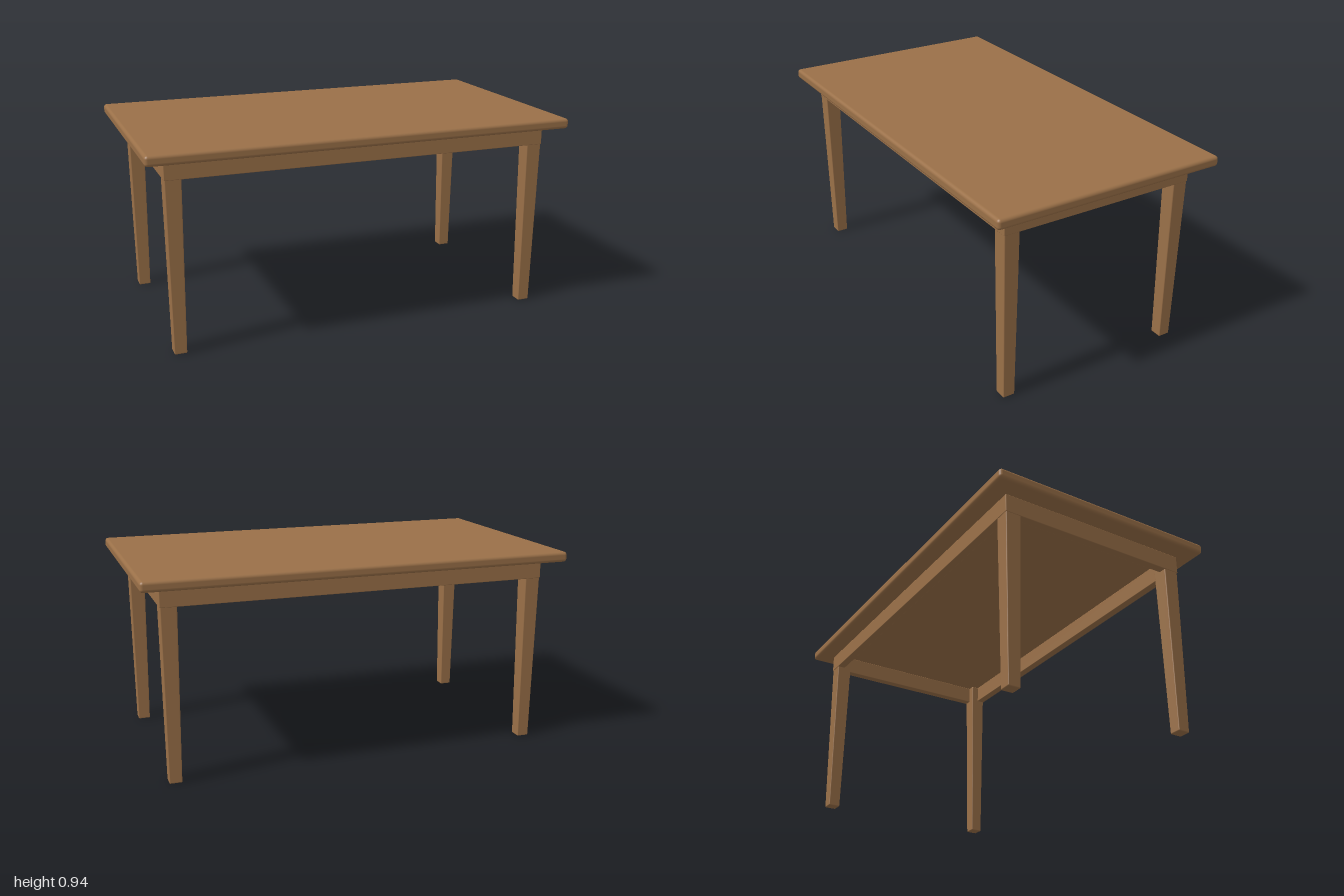
import * as THREE from 'three';
import { RoundedBoxGeometry } from 'three/addons/geometries/RoundedBoxGeometry.js';

const TOP_Y = 0.938, UNDER_Y = 0.89, APRON_Y = 0.803;
const FRAME_X = 0.91, FRAME_Z = 0.475, APRON_THICK = 0.04;

export function createModel() {
  const model = new THREE.Group();
  model.name = 'table';
  const wood = new THREE.MeshStandardMaterial({ color: 0x9a7048 });

  const addPart = (name, geometry, x, y, z) => {
    const mesh = new THREE.Mesh(geometry, wood);
    mesh.name = name;
    mesh.position.set(x, y, z);
    model.add(mesh);
  };

  // Tabletop with softened edges
  const topHeight = TOP_Y - UNDER_Y;
  addPart('tabletop', new RoundedBoxGeometry(2, topHeight, 1.12, 4, 0.015), 0, UNDER_Y + topHeight / 2, 0);

  // Apron frame: two long rails with two short rails between them
  const apronHeight = UNDER_Y - APRON_Y;
  const apronY = (UNDER_Y + APRON_Y) / 2;
  const longRail = new RoundedBoxGeometry(2 * FRAME_X, apronHeight, APRON_THICK, 2, 0.003);
  const shortRail = new RoundedBoxGeometry(APRON_THICK, apronHeight, 2 * FRAME_Z - 0.004, 2, 0.003);
  for (const s of [1, -1]) {
    addPart(s > 0 ? 'frontApron' : 'backApron', longRail, 0, apronY, s * (FRAME_Z - APRON_THICK / 2));
    addPart(s > 0 ? 'leftApron' : 'rightApron', shortRail, s * (FRAME_X - APRON_THICK / 2), apronY, 0);
  }

  // Square legs, narrowing evenly towards the floor
  const legWidth = 0.076, footWidth = 0.057;
  const leg = new RoundedBoxGeometry(legWidth, UNDER_Y, legWidth, 3, 0.005);
  const p = leg.attributes.position;
  for (let i = 0; i < p.count; i++) {
    const k = THREE.MathUtils.lerp(footWidth / legWidth, 1, p.getY(i) / UNDER_Y + 0.5);
    p.setX(i, p.getX(i) * k);
    p.setZ(i, p.getZ(i) * k);
  }
  for (const sx of [1, -1]) {
    for (const sz of [1, -1]) {
      const name = (sz > 0 ? 'front' : 'back') + (sx > 0 ? 'Left' : 'Right') + 'Leg';
      addPart(name, leg, sx * (FRAME_X - 0.039), UNDER_Y / 2, sz * (FRAME_Z - 0.039));
    }
  }
  return model;
}
